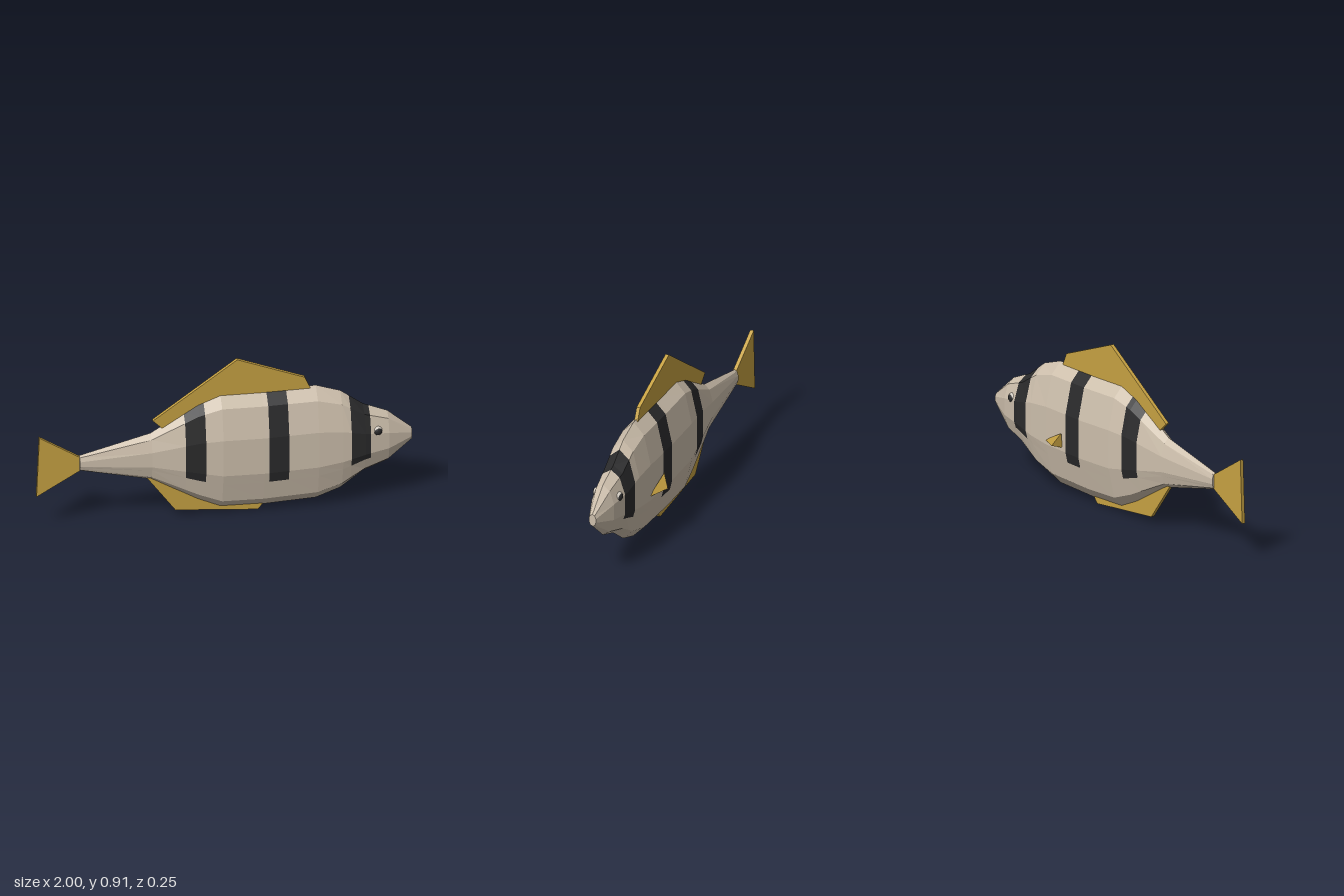
import * as THREE from 'three';
import { ConvexGeometry } from 'three/addons/geometries/ConvexGeometry.js';

const mat = (name, color, extra = {}) => {
  const m = new THREE.MeshStandardMaterial({ color, flatShading: true, ...extra });
  m.name = name;
  return m;
};

const MID = 0.025; // z of the fish's middle plane

// x, top y, bottom y, half width
const stations = [
  [-0.77, 0.42, 0.33, 0.022], [-0.39, 0.515, 0.24, 0.052], [-0.14, 0.67, 0.09, 0.089],
  [-0.02, 0.715, 0.035, 0.105], [0.2, 0.71, 0.028, 0.106], [0.49, 0.71, 0.038, 0.105],
  [0.62, 0.665, 0.085, 0.099], [0.74, 0.575, 0.175, 0.091], [0.87, 0.52, 0.225, 0.068],
  [1.0, 0.408, 0.338, 0.021],
];
const stripes = [[-0.215, -0.11], [0.225, 0.33], [0.665, 0.77]];

function stationAt(x) {
  const i = stations.findIndex((s) => s[0] > x) - 1;
  const a = stations[i], b = stations[i + 1];
  const t = (x - a[0]) / (b[0] - a[0]);
  return a.map((v, k) => v + (b[k] - v) * t);
}

// Ten-sided ring with one extra point per side where the stripes end
function unitRing() {
  const ring = [];
  for (let k = 0; k < 10; k++) {
    const a = (k * Math.PI) / 5;
    ring.push([Math.cos(a), Math.sin(a)]);
  }
  const between = (p, q, t) => [p[0] + (q[0] - p[0]) * t, p[1] + (q[1] - p[1]) * t];
  const left = between(ring[3], ring[4], 0.342);
  const right = between(ring[7], ring[6], 0.342);
  return [...ring.slice(0, 4), left, ...ring.slice(4, 7), right, ...ring.slice(7)];
}

function bodyGeometry() {
  const rows = [...stations, ...stripes.flat().map(stationAt)].sort((a, b) => a[0] - b[0]);
  const ring = unitRing(), n = ring.length;
  const pos = [], skin = [], dark = [];
  for (const [x, top, bottom, w] of rows) {
    for (const [u, v] of ring) pos.push(x, (top + bottom) / 2 + (u * (top - bottom)) / 2, MID + v * w);
  }
  for (let i = 0; i < rows.length - 1; i++) {
    const x = (rows[i][0] + rows[i + 1][0]) / 2;
    const inStripe = stripes.some(([a, b]) => x > a && x < b);
    for (let j = 0; j < n; j++) {
      const a = i * n + j, b = i * n + ((j + 1) % n);
      const upper = j < 4 || j >= 8;
      (inStripe && upper ? dark : skin).push(a, b, b + n, a, b + n, a + n);
    }
  }
  // Tail and snout caps
  const last = (rows.length - 1) * n;
  for (let j = 1; j < n - 1; j++) {
    skin.push(0, j + 1, j, last, last + j, last + j + 1);
  }
  const g = new THREE.BufferGeometry();
  g.setAttribute('position', new THREE.Float32BufferAttribute(pos, 3));
  g.setIndex([...skin, ...dark]);
  g.addGroup(0, skin.length, 0);
  g.addGroup(skin.length, dark.length, 1);
  g.computeVertexNormals();
  return g;
}

export function createModel() {
  const fish = new THREE.Group();
  fish.name = 'fish';
  const skin = mat('pale skin', 0xcdbfac);
  const black = mat('black', 0x2a2a2b);
  const gold = mat('golden fin', 0xc6a142);
  const white = mat('eye white', 0xd4cdc2, { flatShading: false });

  const add = (name, geometry, material, parent = fish) => {
    const m = new THREE.Mesh(geometry, material);
    m.name = name;
    parent.add(m);
    return m;
  };

  add('body', bodyGeometry(), [skin, black]);

  // Flat fins in the middle plane
  const fins = {
    dorsalFin: [[-0.38, 0.59], [-0.33, 0.54], [-0.05, 0.64], [0.3, 0.66], [0.46, 0.7], [0.43, 0.768], [0.07, 0.91]],
    analFin: [[-0.41, 0.25], [-0.26, 0.045], [0.18, 0.004], [0.205, 0.035], [0, 0.1], [-0.3, 0.28]],
    tailFin: [[-0.985, 0.55], [-1, 0.2], [-0.765, 0.335], [-0.765, 0.41]],
  };
  for (const [name, pts] of Object.entries(fins)) {
    const shape = new THREE.Shape(pts.map(([x, y]) => new THREE.Vector2(x, y)));
    const g = new THREE.ExtrudeGeometry(shape, { depth: 0.02, bevelEnabled: false });
    add(name, g.translate(0, 0, MID - 0.01), gold);
  }

  // Small side fin, on the right only
  const corners = [[0.5, 0.293, -0.07], [0.35, 0.37, -0.088], [0.385, 0.3, -0.125], [0.36, 0.285, -0.072]];
  add('pectoralFin', new ConvexGeometry(corners.map((c) => new THREE.Vector3(...c))), gold);

  // Eyes with dark pupils
  for (const s of [1, -1]) {
    const eye = new THREE.Group();
    eye.name = s > 0 ? 'leftEye' : 'rightEye';
    eye.position.set(0.807, 0.438, MID + s * 0.056);
    add('eyeball', new THREE.SphereGeometry(0.027, 16, 12), white, eye);
    // Pupil is a thin cap on the outer, forward face of the eyeball
    const cap = new THREE.SphereGeometry(0.0285, 16, 6, 0, Math.PI * 2, 0, 0.85);
    const pupil = add('pupil', cap, black, eye);
    pupil.quaternion.setFromUnitVectors(new THREE.Vector3(0, 1, 0), new THREE.Vector3(0.15, -0.1, s).normalize());
    fish.add(eye);
  }
  return fish;
}
